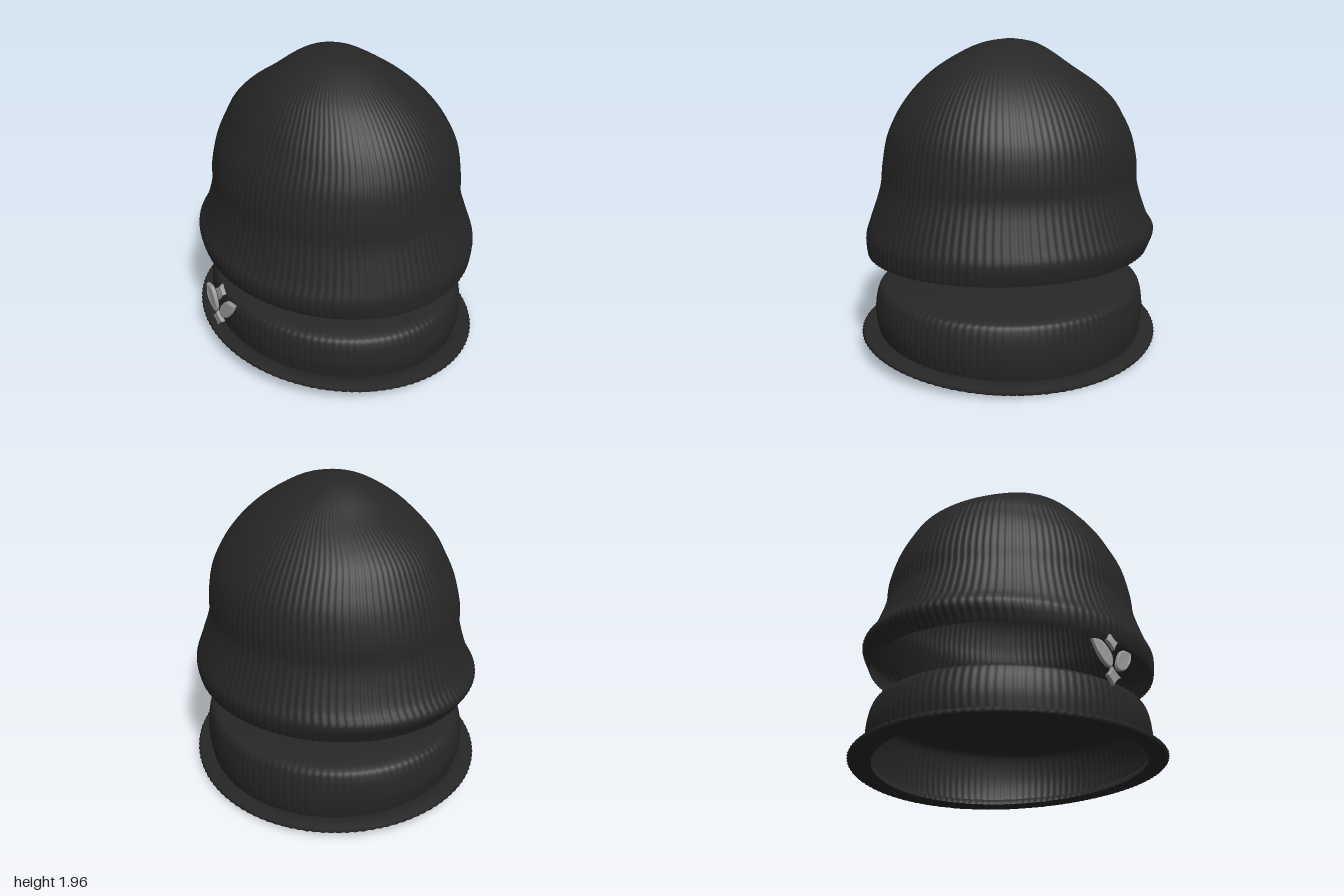
import * as THREE from 'three';

const RIBS = 120, SEGS = RIBS * 4;

// Smooths a short list of rows (numbers per row) into more rows
function refine(rows, steps) {
  const out = [];
  const at = i => rows[Math.max(0, Math.min(rows.length - 1, i))];
  for (let i = 0; i < rows.length - 1; i++) {
    for (let s = 0; s < steps; s++) {
      const t = s / steps;
      out.push(rows[i].map((b, k) => {
        const a = at(i - 1)[k], c = at(i + 1)[k], d = at(i + 2)[k];
        return b + 0.5 * t * (c - a + t * (2 * a - 5 * b + 4 * c - d + t * (3 * (b - c) + d - a)));
      }));
    }
  }
  out.push(rows[rows.length - 1]);
  return out;
}

// Ribbed rings: each row is [y, left reach -x, right reach +x, front reach, back reach, sag]
function ribbedLoft(rows, rib) {
  const pos = [], idx = [];
  rows.forEach(([y, xn, xp, zf, zb, sag = 0]) => {
    for (let j = 0; j < SEGS; j++) {
      const a = (j / SEGS) * Math.PI * 2;
      const k = 1 - rib * (0.5 - 0.5 * Math.cos(a * RIBS));
      const c = Math.cos(a), s = Math.sin(a);
      const x = c * (c > 0 ? xp : xn) * k;
      const z = s * (s > 0 ? zf : zb) * k;
      pos.push(x, y + sag * (0.07 * z - 0.03 * z * z), z);
    }
  });
  for (let i = 0; i < rows.length - 1; i++) {
    for (let j = 0; j < SEGS; j++) {
      const n = (j + 1) % SEGS, a = i * SEGS + j, b = i * SEGS + n;
      idx.push(a, a + SEGS, b, b, a + SEGS, b + SEGS);
    }
  }
  const g = new THREE.BufferGeometry();
  g.setAttribute('position', new THREE.Float32BufferAttribute(pos, 3));
  g.setIndex(idx);
  g.computeVertexNormals();
  return g;
}

// Thin plate cut from an outline, leaning back towards its top
function badgePlate(shape) {
  const g = new THREE.ExtrudeGeometry(shape, {
    depth: 0.014, bevelEnabled: true, bevelThickness: 0.006, bevelSize: 0.006,
    bevelOffset: -0.006, bevelSegments: 2, curveSegments: 8
  });
  const p = g.attributes.position;
  for (let i = 0; i < p.count; i++) {
    const x = p.getX(i) + 0.05, y = p.getY(i);
    p.setZ(i, p.getZ(i) + 0.897 - 0.4 * x * x - 0.35 * Math.max(0, y - 0.5) ** 1.3);
  }
  g.computeVertexNormals();
  return g;
}

// Four-pointed diamond with hollow sides
function diamond(points) {
  const cx = points.reduce((s, p) => s + p[0], 0) / 4;
  const cy = points.reduce((s, p) => s + p[1], 0) / 4;
  const s = new THREE.Shape();
  s.moveTo(...points[0]);
  for (let i = 0; i < 4; i++) {
    const a = points[i], b = points[(i + 1) % 4];
    const mx = (a[0] + b[0]) / 2, my = (a[1] + b[1]) / 2;
    s.quadraticCurveTo(mx + (cx - mx) * 0.25, my + (cy - my) * 0.25, b[0], b[1]);
  }
  return s;
}

// Rounded petal outline with a sharp outer tip
function petal(points) {
  const s = new THREE.Shape();
  s.moveTo(...points[0]);
  s.splineThru([...points.slice(1), points[0]].map(p => new THREE.Vector2(...p)));
  return s;
}

export function createModel() {
  const hat = new THREE.Group();
  hat.name = 'hat';
  const black = new THREE.MeshStandardMaterial({ color: 0x262626, side: THREE.DoubleSide });
  black.name = 'black cloth';
  const silver = new THREE.MeshStandardMaterial({ color: 0x969696 });
  silver.name = 'silver';
  const add = (name, geometry, material, parent = hat) => {
    const m = new THREE.Mesh(geometry, material);
    m.name = name;
    parent.add(m);
  };

  // Tall crown, open underneath
  add('crown', ribbedLoft(refine([
    [0.65, 0.91, 0.94, 0.825, 0.853],
    [0.69, 0.93, 0.945, 0.838, 0.865],
    [0.77, 0.97, 0.945, 0.842, 0.874],
    [0.86, 0.91, 0.92, 0.80, 0.84],
    [1.06, 0.845, 0.85, 0.74, 0.77],
    [1.20, 0.835, 0.83, 0.73, 0.767],
    [1.37, 0.79, 0.80, 0.69, 0.74],
    [1.50, 0.73, 0.745, 0.63, 0.675],
    [1.60, 0.668, 0.68, 0.58, 0.605],
    [1.70, 0.55, 0.59, 0.51, 0.51],
    [1.80, 0.39, 0.465, 0.42, 0.385],
    [1.90, 0.25, 0.29, 0.26, 0.225],
    [1.95, 0.14, 0.15, 0.14, 0.12],
    [1.97, 0.001, 0.001, 0.001, 0.001]
  ], 3), 0.007), black);

  // Low band with a shallow closed top, hollow below
  add('band', ribbedLoft(refine([
    [0.11, 0.88, 0.88, 0.79, 0.81, 1],
    [0.17, 0.895, 0.895, 0.795, 0.825, 0.9],
    [0.27, 0.905, 0.905, 0.80, 0.832, 0.7],
    [0.395, 0.88, 0.88, 0.782, 0.812, 0.5],
    [0.433, 0.82, 0.82, 0.73, 0.76, 0.45],
    [0.462, 0.65, 0.65, 0.58, 0.55, 0.4],
    [0.484, 0.46, 0.46, 0.43, 0.25, 0.15],
    [0.486, 0.001, 0.001, 0.001, 0.001, 0]
  ], 3), 0.005), black);

  // Thin brim, bowed and dipping towards the back
  add('brim', ribbedLoft([
    [0.10, 0.86, 0.86, 0.775, 0.79, 1],
    [0.092, 0.93, 0.93, 0.83, 0.85, 1],
    [0.098, 0.985, 0.985, 0.872, 0.90, 1],
    [0.112, 1, 1, 0.885, 0.912, 1],
    [0.126, 0.985, 0.985, 0.875, 0.902, 1],
    [0.126, 0.93, 0.93, 0.83, 0.85, 1],
    [0.135, 0.87, 0.87, 0.78, 0.80, 1],
    [0.10, 0.86, 0.86, 0.775, 0.79, 1]
  ], 0.006), black);

  // Four-piece badge standing off the front
  const badge = new THREE.Group();
  badge.name = 'badge';
  hat.add(badge);
  add('upperDiamond', badgePlate(diamond(
    [[-0.05, 0.65], [-0.095, 0.6], [-0.05, 0.545], [-0.005, 0.6]])), silver, badge);
  add('lowerDiamond', badgePlate(diamond(
    [[-0.08, 0.44], [-0.125, 0.385], [-0.077, 0.335], [-0.02, 0.39]])), silver, badge);
  add('rightPetal', badgePlate(petal([[-0.2, 0.58], [-0.18, 0.505], [-0.135, 0.45],
    [-0.09, 0.435], [-0.075, 0.485], [-0.095, 0.54], [-0.14, 0.583]])), silver, badge);
  add('leftPetal', badgePlate(petal([[0.097, 0.567], [0.027, 0.567], [-0.02, 0.525],
    [-0.043, 0.465], [-0.03, 0.433], [0.027, 0.45], [0.075, 0.51]])), silver, badge);
  return hat;
}
